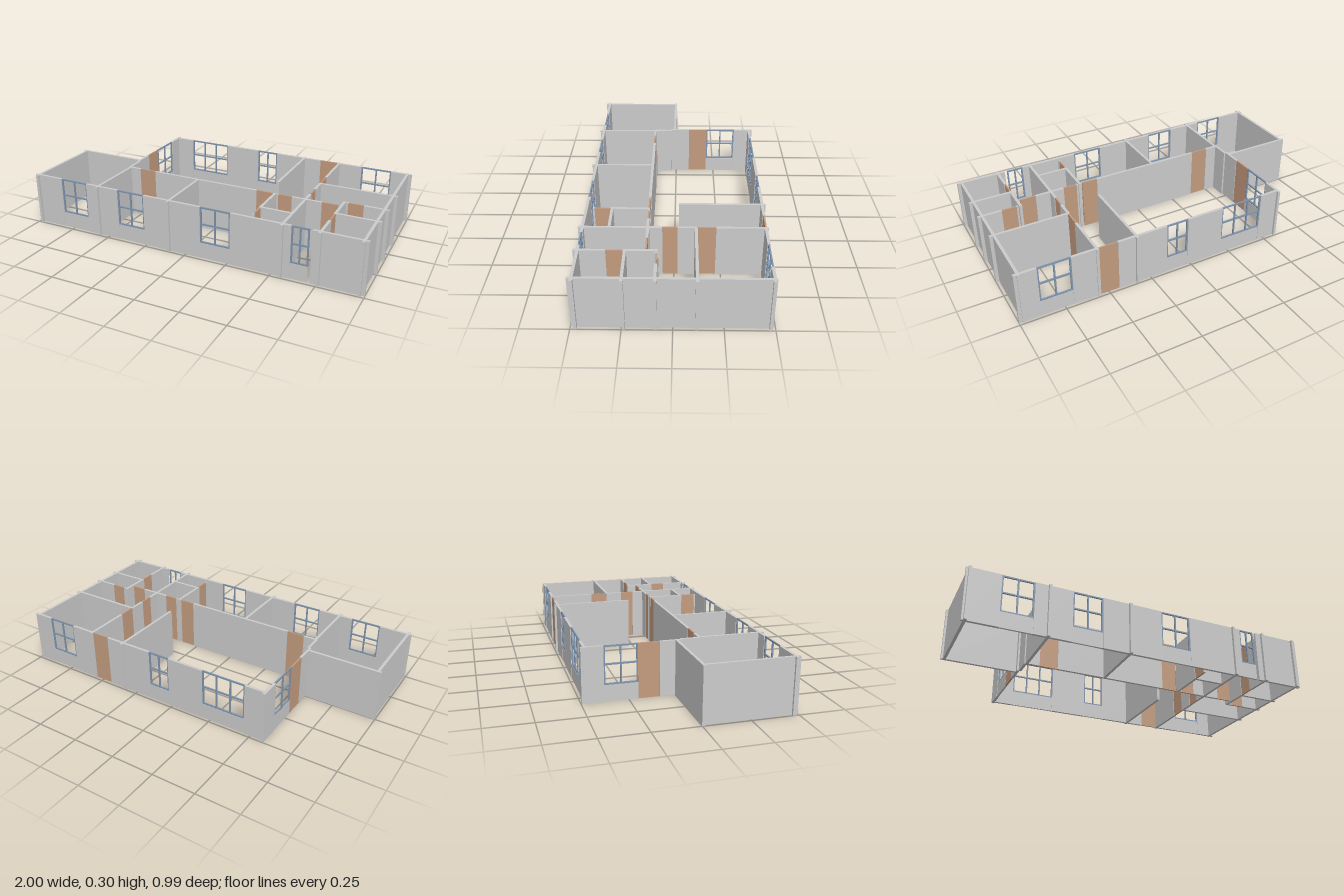
import * as THREE from 'three';

const H = 0.3;        // wall height
const T = 0.0155;     // wall thickness
const SILL = 0.09;
const TRANSOM = 0.2;
const BAR = 0.008;

const wallMat = new THREE.MeshStandardMaterial({ color: 0xcccccc });
const doorMat = new THREE.MeshStandardMaterial({ color: 0xc49c80 });
const frameMat = new THREE.MeshStandardMaterial({ color: 0x8297b0 });

// Box spanning a..b along a run, y0..y1 in height
function slab(parent, name, mat, a, b, y0, y1, depth) {
  const mesh = new THREE.Mesh(new THREE.BoxGeometry(b - a, y1 - y0, depth), mat);
  mesh.position.set((a + b) / 2, (y0 + y1) / 2, 0);
  mesh.name = name;
  parent.add(mesh);
}

// Low sill panel with an open frame of bars reaching the wall top
function addWindow(parent, a, b, panes) {
  const g = new THREE.Group();
  g.name = 'window';
  slab(g, 'sillPanel', wallMat, a, b, 0, SILL, 0.011);
  for (const y of [SILL, TRANSOM - BAR / 2, H - BAR]) {
    slab(g, 'frameRail', frameMat, a, b, y, y + BAR, BAR);
  }
  for (let i = 0; i <= panes; i++) {
    const x = a + BAR / 2 + ((b - a - BAR) * i) / panes;
    slab(g, 'frameBar', frameMat, x - BAR / 2, x + BAR / 2, SILL, H, BAR);
  }
  parent.add(g);
}

// Straight wall split by openings: [start, end, panes], where 0 panes is a door
function wallRun(name, along, at, from, to, openings = []) {
  const g = new THREE.Group();
  g.name = name;
  let cursor = from;
  for (const [a, b, panes] of openings) {
    if (a > cursor) slab(g, 'wallPanel', wallMat, cursor, a, 0, H, T);
    if (panes) addWindow(g, a, b, panes);
    else slab(g, 'door', doorMat, a, b, 0, H, 0.009);
    cursor = b;
  }
  if (to > cursor) slab(g, 'wallPanel', wallMat, cursor, to, 0, H, T);
  if (along === 'x') g.position.z = at;
  else {
    g.rotation.y = -Math.PI / 2; // local x becomes +z
    g.position.x = at;
  }
  return g;
}

export function createModel() {
  const model = new THREE.Group();
  model.name = 'floorPlanWalls';

  model.add(
    // Outer walls
    wallRun('frontWallRight', 'x', 0.474, -1, 0.2, [
      [-0.815, -0.64, 2], [-0.43, -0.26, 2], [0.09, 0.2675, 2],
    ]),
    wallRun('frontWallMiddle', 'x', 0.474, 0.2675, 0.7, [[0.605, 0.7, 2]]),
    wallRun('frontWallLeft', 'x', 0.474, 0.715, 1),
    wallRun('backWall', 'x', -0.477, -0.585, 1, [
      [-0.46, -0.2, 3], [0.02, 0.15, 2], [0.44, 0.55, 0], [0.7, 0.88, 2],
    ]),
    wallRun('leftWall', 'z', 0.974, -0.49, 0.497),
    wallRun('rightWall', 'z', -0.981, 0, 0.497),
    wallRun('notchWall', 'x', 0.006, -1, -0.57),
    wallRun('notchSideWall', 'z', -0.577, -0.497, 0.035, [
      [-0.38, -0.2, 2], [-0.2, -0.085, 0],
    ]),
    wallRun('notchSideWallEnd', 'z', -0.567, 0.03, 0.135),

    // Long corridor wall
    wallRun('corridorWall', 'x', 0.135, -0.565, 0.362, [
      [-0.49, -0.385, 0], [0.27, 0.362, 0],
    ]),
    wallRun('corridorWallLeft', 'x', 0.135, 0.39, 0.74, [
      [0.4, 0.48, 0], [0.65, 0.74, 0],
    ]),

    // Partitions running front to back
    wallRun('partition', 'z', -0.561, 0.135, 0.497),
    wallRun('partition', 'z', -0.101, 0.13, 0.497),
    wallRun('partition', 'z', 0.378, 0.13, 0.44, [[0.345, 0.43, 0]]),
    wallRun('partition', 'z', 0.332, -0.497, -0.025),
    wallRun('partition', 'z', 0.557, -0.49, 0.497, [
      [-0.22, -0.12, 0], [-0.02, 0.06, 0],
    ]),
    wallRun('partition', 'z', 0.757, 0.075, 0.497, [[0.25, 0.335, 0]]),

    // Partitions running side to side
    wallRun('partition', 'x', -0.116, 0.557, 1),
    wallRun('partition', 'x', 0.083, 0.77, 1, [[0.78, 0.865, 0]]),
    wallRun('partition', 'x', 0.24, 0.757, 1),
    wallRun('partition', 'x', 0.336, 0.378, 0.557),
  );
  return model;
}
